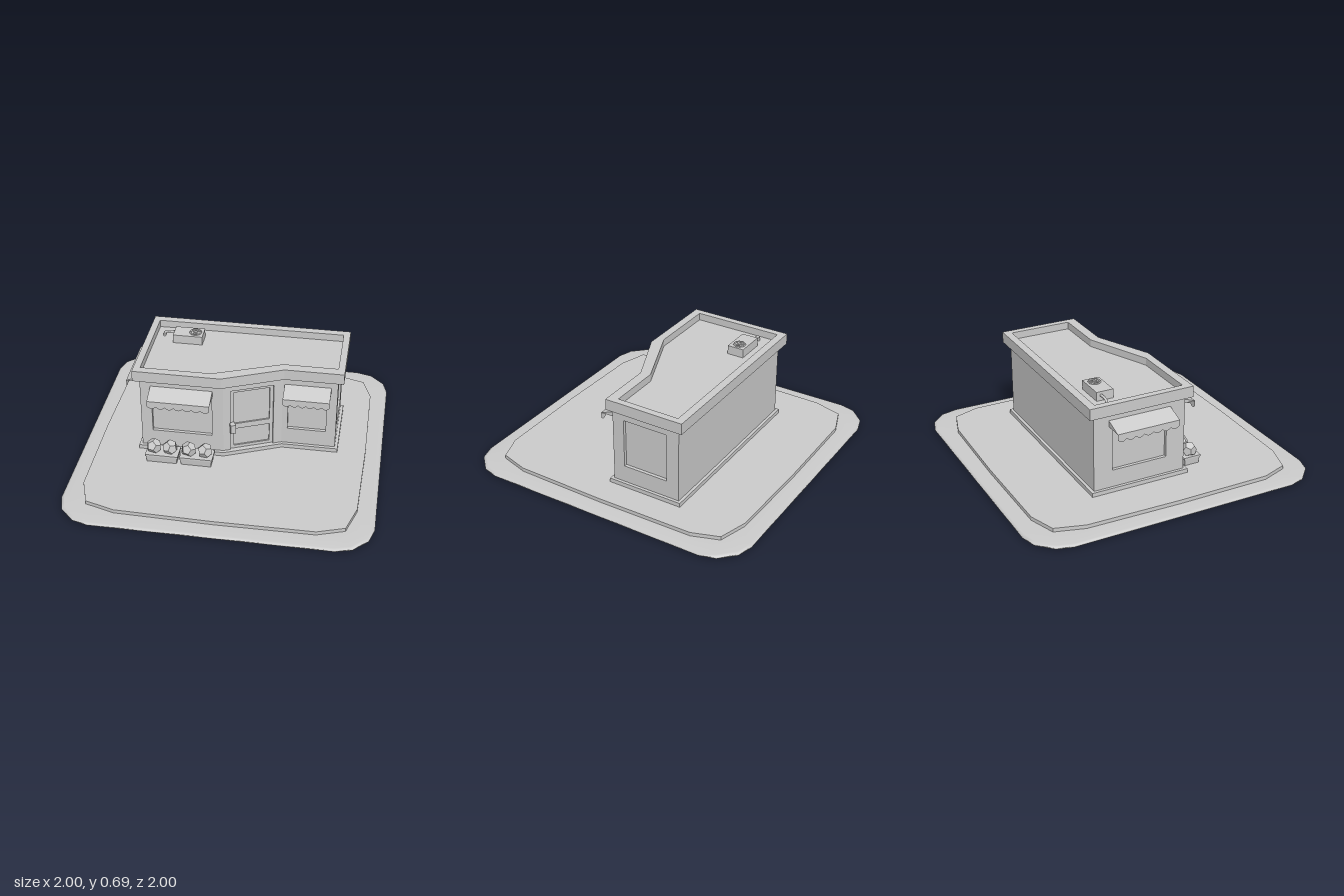
import * as THREE from 'three';

const grey = new THREE.MeshStandardMaterial({ color: 0xcccccc });
const flat = new THREE.MeshStandardMaterial({ color: 0xcccccc, flatShading: true });
const thin = new THREE.MeshStandardMaterial({ color: 0xcccccc, side: THREE.DoubleSide });

function add(parent, name, geometry, x = 0, y = 0, z = 0, material = grey) {
  const mesh = new THREE.Mesh(geometry, material);
  mesh.name = name;
  mesh.position.set(x, y, z);
  parent.add(mesh);
  return mesh;
}

const box = (w, h, d) => new THREE.BoxGeometry(w, h, d);
const planPath = (pts) => pts.map(([x, z]) => new THREE.Vector2(x, -z));

// Horizontal slab from a plan outline of [x, z] points
function slab(pts, y0, y1, hole) {
  const shape = new THREE.Shape(planPath(pts));
  if (hole) shape.holes.push(new THREE.Path(planPath(hole)));
  return new THREE.ExtrudeGeometry(shape, { depth: y1 - y0, bevelEnabled: false })
    .rotateX(-Math.PI / 2).translate(0, y0, 0);
}

const rect = (u0, u1, v0, v1) => [[u0, v0], [u1, v0], [u1, v1], [u0, v1]].map((p) => new THREE.Vector2(...p));

// Upright board with rectangular openings, front at z = 0
function board(outline, holes, depth) {
  const shape = new THREE.Shape(rect(...outline));
  for (const h of holes) shape.holes.push(new THREE.Path(rect(...h).reverse()));
  return new THREE.ExtrudeGeometry(shape, { depth, bevelEnabled: false }).translate(0, 0, -depth);
}

// Repeat one corner's points around the four corners
function roundedPlan(corner) {
  const pts = [];
  for (let q = 0; q < 4; q++) {
    const c = Math.round(Math.cos(q * Math.PI / 2)), s = Math.round(Math.sin(q * Math.PI / 2));
    for (const [x, z] of corner) pts.push([x * c - z * s, x * s + z * c]);
  }
  return pts;
}

// Smooth ground plate lofted through scaled rings
function groundGeometry() {
  const plan = roundedPlan([[1, 0], [1, 0.4], [1, 0.77], [0.97, 0.875], [0.875, 0.97], [0.77, 1], [0.4, 1]]);
  const rings = [[0.001, 0], [0.9, 0], [0.985, 0.002], [1, 0.01], [1, 0.02], [0.985, 0.027], [0.88, 0.03], [0.001, 0.03]];
  const n = plan.length, pos = [], index = [];
  for (const [s, y] of rings) for (const [x, z] of plan) pos.push(x * s, y, z * s);
  for (let r = 0; r < rings.length - 1; r++) {
    for (let i = 0; i < n; i++) {
      const a = r * n + i, b = r * n + (i + 1) % n;
      index.push(a, a + n, b, b, a + n, b + n);
    }
  }
  const g = new THREE.BufferGeometry();
  g.setAttribute('position', new THREE.Float32BufferAttribute(pos, 3));
  g.setIndex(index);
  g.computeVertexNormals();
  return g;
}

// Wedge canopy with a scalloped valance
function addAwning(parent, u0, u1, scallops) {
  const awning = new THREE.Group();
  awning.name = 'awning';
  parent.add(awning);
  const out = 0.118, profile = new THREE.Shape();
  profile.moveTo(0, 0.508);
  profile.lineTo(out, 0.508);
  profile.lineTo(0, 0.55);
  const canopy = new THREE.ExtrudeGeometry(profile, { depth: u1 - u0, bevelEnabled: false });
  add(awning, 'canopy', canopy.rotateY(-Math.PI / 2), u1);
  const edge = new THREE.Shape(), w = (u1 - u0) / scallops;
  edge.moveTo(u0, 0.508);
  edge.lineTo(u0, 0.47);
  for (let i = 0; i < scallops; i++) {
    edge.quadraticCurveTo(u0 + (i + 0.5) * w, 0.438, u0 + (i + 1) * w, 0.47);
  }
  edge.lineTo(u1, 0.508);
  add(awning, 'valance', new THREE.ShapeGeometry(edge, 8), 0, 0, out, thin);
}

// Door leaf with two sunken panels and a handle
function addDoor(parent, [u0, u1, v0, v1]) {
  const door = new THREE.Group();
  door.name = 'door';
  door.position.z = -0.012;
  parent.add(door);
  const holes = [[u0 + 0.027, u1 - 0.023, 0.28, v1 - 0.022], [u0 + 0.027, u1 - 0.023, 0.105, 0.24]];
  add(door, 'doorLeaf', board([u0, u1, v0, v1], holes, 0.012));
  for (const [a, b, c, d] of holes) {
    add(door, 'doorPanel', box(b - a, d - c, 0.01), (a + b) / 2, (c + d) / 2, -0.015);
  }
  add(door, 'doorHandle', box(0.035, 0.065, 0.04), u0 + 0.013, 0.263, 0.02);
}

export function createModel() {
  const model = new THREE.Group();
  model.name = 'shop';

  // Ground
  add(model, 'ground', groundGeometry());
  const paving = roundedPlan([[0.893, 0], [0.88, 0.63], [0.822, 0.825], [0.645, 0.887]]);
  add(model, 'pavement', slab(paving, 0.028, 0.055));

  // Plinth, parapet and roof
  add(model, 'plinth', slab([[-0.615, 0.223], [-0.04, 0.223], [0.33, 0.062], [0.705, 0.062], [0.705, -0.46], [-0.615, -0.46]], 0.055, 0.083));
  const outer = [[-0.635, 0.235], [-0.055, 0.235], [0.335, 0.063], [0.722, 0.063], [0.722, -0.482], [-0.635, -0.482]];
  const inner = [[-0.59, 0.18], [-0.125, 0.18], [0.32, -0.003], [0.677, -0.003], [0.677, -0.43], [-0.59, -0.43]];
  add(model, 'parapet', slab(outer, 0.6, 0.675, inner));
  add(model, 'roof', slab(inner, 0.6, 0.625));

  // Walls: one board per side, u runs from the start corner
  const corners = [[-0.595, 0.2], [-0.045, 0.2], [0.325, 0.04], [0.685, 0.04], [0.685, -0.44], [-0.595, -0.44]];
  const sides = [
    { window: [0.075, 0.475, 0.2, 0.535], awning: [0.07, 0.48, 7] },
    { door: [0.049, 0.343, 0.083, 0.55] },
    { window: [0.037, 0.293, 0.2, 0.535], awning: [0.012, 0.317, 6] },
    { window: [0.08, 0.39, 0.2, 0.535] },
    {},
    { window: [0.13, 0.51, 0.2, 0.535], awning: [0.105, 0.535, 7] },
  ];
  sides.forEach((side, i) => {
    const [ax, az] = corners[i], [bx, bz] = corners[(i + 1) % corners.length];
    const wall = new THREE.Group();
    wall.name = 'wallSide';
    wall.position.set(ax, 0, az);
    wall.rotation.y = Math.atan2(az - bz, bx - ax);
    model.add(wall);
    const opening = side.window || side.door;
    add(wall, 'wall', board([0, Math.hypot(bx - ax, bz - az), 0.08, 0.605], opening ? [opening] : [], 0.025));
    if (side.window) {
      const [a, b, c, d] = side.window;
      add(wall, 'windowPane', box(b - a + 0.01, d - c + 0.01, 0.01), (a + b) / 2, (c + d) / 2, -0.027);
    }
    if (side.door) addDoor(wall, side.door);
    if (side.awning) addAwning(wall, ...side.awning);
  });

  // Planters with faceted shrubs
  for (const [x, shrubs] of [[-0.433, [-0.06, 0.048]], [-0.203, [-0.056, 0.054]]]) {
    const planter = new THREE.Group();
    planter.name = 'planter';
    planter.position.set(x, 0.055, 0.304);
    model.add(planter);
    const trough = box(0.21, 0.05, 0.113), p = trough.attributes.position;
    for (let i = 0; i < p.count; i++) {
      if (p.getY(i) < 0) p.setXYZ(i, p.getX(i) * 0.95, p.getY(i), p.getZ(i) * 0.9);
    }
    trough.computeVertexNormals();
    add(planter, 'trough', trough, 0, 0.025, 0);
    add(planter, 'rim', box(0.218, 0.013, 0.121), 0, 0.053, 0);
    shrubs.forEach((sx, k) => {
      const shrub = add(planter, 'shrub', new THREE.DodecahedronGeometry(0.052), sx, 0.092, 0, flat);
      shrub.rotation.set(0.4 + k, x * 9 + k * 2, 0.3);
    });
  }

  // Rooftop cooling unit with fan and bent pipe
  const unit = new THREE.Group();
  unit.name = 'coolingUnit';
  unit.position.set(-0.36, 0.625, -0.292);
  model.add(unit);
  add(unit, 'casing', box(0.2, 0.06, 0.115), 0, 0.03, 0);
  add(unit, 'fanRing', new THREE.TorusGeometry(0.036, 0.006, 6, 20).rotateX(Math.PI / 2), 0.045, 0.062, 0);
  add(unit, 'fanHub', new THREE.CylinderGeometry(0.012, 0.012, 0.008, 12), 0.045, 0.064, 0);
  for (let i = 0; i < 2; i++) add(unit, 'fanBlade', box(0.066, 0.004, 0.01), 0.045, 0.062, 0).rotation.y = Math.PI * (0.25 + i / 2);
  const bend = new THREE.CatmullRomCurve3([[-0.09, 0.036], [-0.15, 0.036], [-0.17, 0.028], [-0.176, 0]]
    .map(([x, y]) => new THREE.Vector3(x, y, -0.027)));
  add(unit, 'pipe', new THREE.TubeGeometry(bend, 16, 0.009, 8));

  return model;
}
